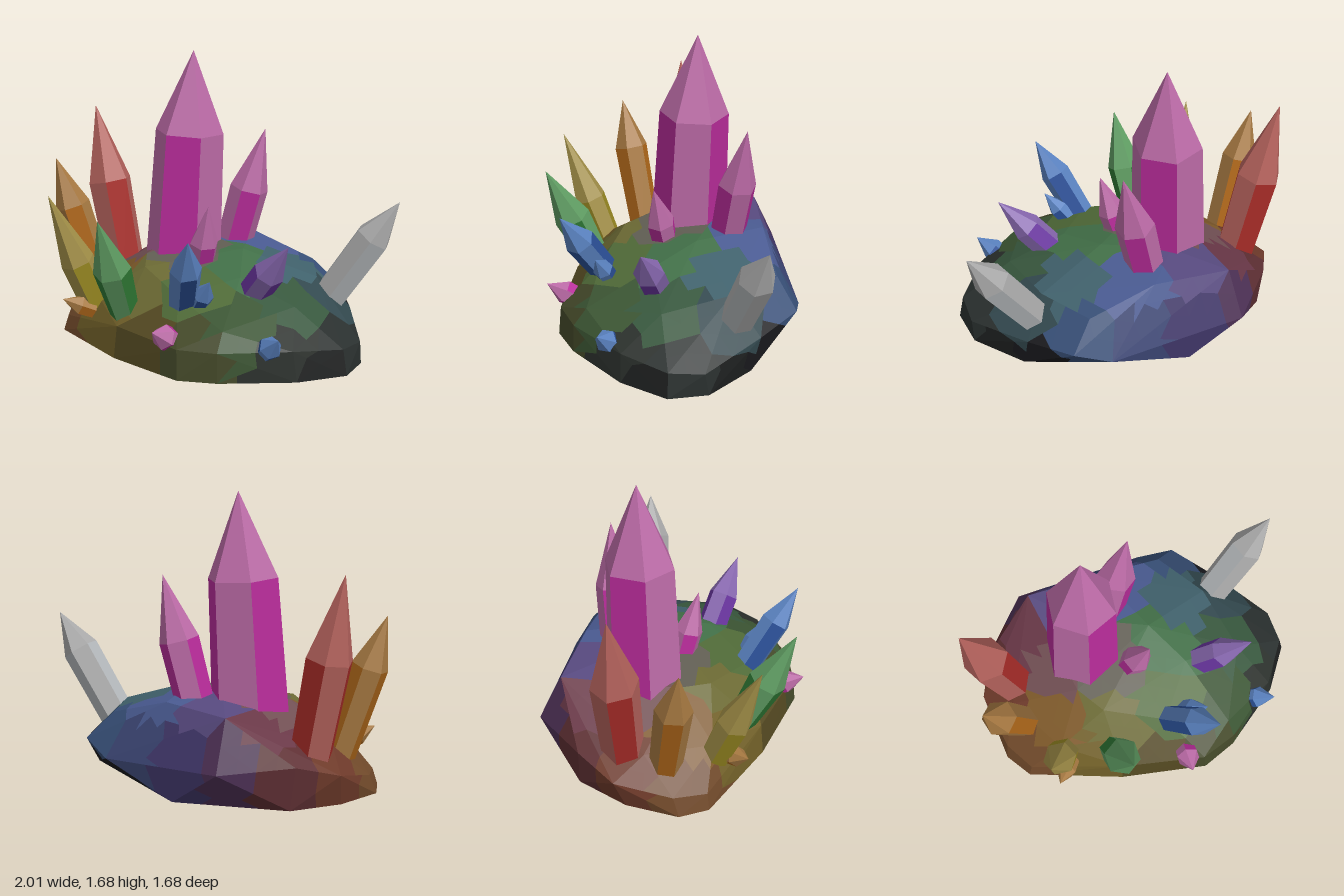
import * as THREE from 'three';
import { ConvexGeometry } from 'three/addons/geometries/ConvexGeometry.js';

const V = (a) => new THREE.Vector3(...a);

function facetMesh(name, points, color) {
  const geometry = new THREE.BufferGeometry().setFromPoints(points);
  geometry.computeVertexNormals();
  const mesh = new THREE.Mesh(geometry, new THREE.MeshStandardMaterial({ color, flatShading: true }));
  mesh.name = name;
  return mesh;
}

// Rock outline loops: foot (rising slightly to front and back), waist and crown
const ROCK_FOOT = [
  [0.13, -0.66], [0.73, 0.1], [0.78, 0.45], [0.68, 0.66], [0.4, 0.77], [-0.03, 0.79],
  [-0.25, 0.74], [-0.62, 0.37], [-0.96, -0.1], [-0.96, -0.28], [-0.78, -0.53], [-0.52, -0.72],
].map(([x, z]) => [x, 0.005 + 0.045 * z * z, z]);
const ROCK_WAIST = [
  [-0.14, 0.24, -0.84], [0.56, 0.18, -0.42], [0.71, 0.25, -0.26], [0.75, 0.21, 0.05], [0.77, 0.15, 0.47],
  [0.66, 0.17, 0.64], [0.38, 0.2, 0.75], [-0.03, 0.2, 0.78], [-0.25, 0.2, 0.72], [-0.6, 0.2, 0.36],
  [-0.93, 0.1, -0.1], [-0.92, 0.12, -0.3], [-0.78, 0.2, -0.6], [-0.55, 0.27, -0.73],
];
const ROCK_CROWN = [
  [-0.17, 0.52, -0.71], [0.2, 0.53, -0.45], [0.55, 0.41, -0.25], [0.55, 0.41, 0.1], [0.12, 0.55, 0],
  [-0.1, 0.545, -0.35], [-0.45, 0.49, -0.1], [-0.45, 0.47, 0.1], [0.1, 0.47, 0.3], [0.4, 0.36, 0.48],
  [0, 0.3, 0.71], [-0.25, 0.4, 0.42], [-0.75, 0.28, 0], [-0.72, 0.3, -0.4],
];

// Tint anchors: each small facet takes the tint of the nearest one
const TINTS = [
  [-0.88, 0.15, -0.2, 0x70492a], [-0.7, 0.33, -0.1, 0x7f5a2a], [-0.7, 0.25, 0.2, 0x705f28],
  [-0.45, 0.4, 0.2, 0x6c6a34], [-0.45, 0.15, 0.5, 0x554a22], [-0.2, 0.2, 0.75, 0x454a2a],
  [-0.15, 0.42, 0.35, 0x506b38], [0.1, 0.5, 0.15, 0x427048], [0.1, 0.3, 0.65, 0x3c5634],
  [0.4, 0.36, 0.45, 0x38583e], [0.35, 0.15, 0.75, 0x2b302c], [0.72, 0.15, 0.5, 0x2a302f],
  [0.65, 0.3, 0.15, 0x33494f], [0.4, 0.46, 0, 0x40616c], [0.65, 0.3, -0.25, 0x385078],
  [0.25, 0.52, -0.35, 0x4a5b92], [0.4, 0.3, -0.5, 0x3c4674], [0.1, 0.25, -0.7, 0x41376a],
  [-0.05, 0.54, -0.55, 0x584a80], [-0.2, 0.3, -0.8, 0x4e3156], [-0.4, 0.45, -0.65, 0x6a3848],
  [-0.5, 0.25, -0.72, 0x5e2f33], [-0.75, 0.25, -0.55, 0x6e3a2a], [-0.4, 0.48, -0.3, 0x725054],
  [-0.2, 0.52, -0.05, 0x625f54], [0.45, 0.07, -0.3, 0x1a1a1e], [0.65, 0.07, -0.05, 0x1a1a1e],
  [0.5, 0.03, 0.72, 0x1e2020], [0.8, 0.02, 0.35, 0x1e2020],
];

function makeRock() {
  const rock = new THREE.Group();
  rock.name = 'rock';
  const hull = new ConvexGeometry([...ROCK_FOOT, ...ROCK_WAIST, ...ROCK_CROWN].map(V));
  const pos = hull.getAttribute('position');
  const patches = TINTS.map(() => []);
  const underside = [];

  // Split a triangle on its longest edge until it is small, then tint it
  const split = (a, b, c) => {
    const ab = a.distanceTo(b), bc = b.distanceTo(c), ca = c.distanceTo(a);
    const longest = Math.max(ab, bc, ca);
    if (longest > 0.17) {
      if (longest === bc) return split(b, c, a);
      if (longest === ca) return split(c, a, b);
      const m = a.clone().lerp(b, 0.5);
      split(a, m, c);
      split(m, b, c);
      return;
    }
    const mid = a.clone().add(b).add(c).divideScalar(3);
    let best = 0, near = Infinity;
    TINTS.forEach((t, i) => {
      const d = mid.distanceTo(V(t.slice(0, 3)));
      if (d < near) { near = d; best = i; }
    });
    patches[best].push(a, b, c);
  };
  for (let i = 0; i < pos.count; i += 3) {
    const tri = [0, 1, 2].map((k) => new THREE.Vector3().fromBufferAttribute(pos, i + k));
    if (tri.every((p) => p.y < 0.05)) underside.push(...tri);
    else split(...tri);
  }
  patches.forEach((pts, i) => {
    if (pts.length) rock.add(facetMesh('rockPatch' + (i + 1), pts, TINTS[i][3]));
  });
  rock.add(facetMesh('rockUnderside', underside, 0x18181a));
  return rock;
}

// Six-sided crystal from base to tip; sides alternate vivid and pale, point is pale
function makeCrystal({ name, base, tip, r, foot = 0.9, t, turn = 0, vivid, pale }) {
  const group = new THREE.Group();
  group.name = name;
  const from = V(base), axis = V(tip).sub(from);
  const h = axis.length();
  const ring = (radius, y) => Array.from({ length: 6 }, (_, i) => {
    const a = THREE.MathUtils.degToRad(turn - 30 + i * 60);
    return new THREE.Vector3(radius * Math.sin(a), y, radius * Math.cos(a));
  });
  const low = ring(r * foot, 0), high = ring(r, h * t);
  const top = new THREE.Vector3(0, h, 0), bottom = new THREE.Vector3(0, -r * 0.5, 0);
  const sides = [[], []];
  for (let i = 0; i < 6; i++) {
    const j = (i + 1) % 6;
    sides[i % 2].push(low[i], low[j], high[j], low[i], high[j], high[i]);
    sides[1].push(high[i], high[j], top, low[j], low[i], bottom);
  }
  group.add(facetMesh(name + 'VividSides', sides[0], vivid), facetMesh(name + 'PaleFaces', sides[1], pale));
  group.position.copy(from);
  group.quaternion.setFromUnitVectors(new THREE.Vector3(0, 1, 0), axis.normalize());
  return group;
}

const PINK = { vivid: 0xb82c9a, pale: 0xbb6aa6 };
const BLUE = { vivid: 0x2a4f96, pale: 0x5a82c0 };
const ORANGE = { vivid: 0xb0681a, pale: 0xa87a42 };

const CRYSTALS = [
  { name: 'mainCrystal', base: [-0.24, 0.4, -0.23], tip: [-0.168, 1.685, -0.24], r: 0.205, foot: 1.12, t: 0.625, turn: -10, ...PINK },
  { name: 'rightPinkCrystal', base: [0.04, 0.38, -0.29], tip: [0.255, 1.215, -0.26], r: 0.115, foot: 0.95, t: 0.56, turn: 5, ...PINK },
  { name: 'smallPinkCrystal', base: [-0.13, 0.42, 0.03], tip: [-0.08, 0.85, 0.16], r: 0.085, t: 0.45, turn: 20, ...PINK },
  { name: 'redCrystal', base: [-0.6, 0.24, -0.48], tip: [-0.785, 1.29, -0.61], r: 0.135, t: 0.56, turn: 25, vivid: 0xa82c28, pale: 0xb4625c },
  { name: 'orangeCrystal', base: [-0.74, 0.2, -0.28], tip: [-1, 1.025, -0.3], r: 0.105, t: 0.65, turn: 10, ...ORANGE },
  { name: 'yellowCrystal', base: [-0.74, 0.2, 0.02], tip: [-0.99, 0.915, 0.17], r: 0.1, t: 0.42, turn: 20, vivid: 0x9a8a22, pale: 0xa39048 },
  { name: 'greenCrystal', base: [-0.56, 0.24, 0.25], tip: [-0.68, 0.86, 0.51], r: 0.11, foot: 0.78, t: 0.48, turn: 60, vivid: 0x2f7a35, pale: 0x5f9c62 },
  { name: 'blueCrystal', base: [-0.225, 0.3, 0.38], tip: [-0.182, 0.81, 0.745], r: 0.09, t: 0.62, turn: 15, ...BLUE },
  { name: 'smallBlueCrystal', base: [-0.15, 0.32, 0.42], tip: [-0.07, 0.54, 0.59], r: 0.06, t: 0.55, ...BLUE },
  { name: 'purpleCrystal', base: [0.13, 0.31, 0.29], tip: [0.355, 0.735, 0.585], r: 0.09, foot: 1, t: 0.56, turn: 45, vivid: 0x6a35a0, pale: 0x8868b0 },
  { name: 'whiteCrystal', base: [0.59, 0.25, 0.11], tip: [0.998, 0.895, 0.235], r: 0.108, foot: 0.95, t: 0.66, turn: 15, vivid: 0xb4b8bb, pale: 0xa9a9a9 },
  { name: 'tinyOrangeCrystal', base: [-0.76, 0.2, 0.08], tip: [-0.93, 0.285, 0.14], r: 0.06, t: 0.45, ...ORANGE },
  { name: 'tinyPinkCrystal', base: [-0.27, 0.2, 0.58], tip: [-0.38, 0.3, 0.725], r: 0.072, t: 0.45, ...PINK },
  { name: 'tinyBlueCrystal', base: [0.225, 0.17, 0.69], tip: [0.295, 0.3, 0.845], r: 0.066, t: 0.45, turn: 30, ...BLUE },
];

export function createModel() {
  const model = new THREE.Group();
  model.name = 'crystalCluster';
  model.add(makeRock());
  for (const spec of CRYSTALS) model.add(makeCrystal(spec));
  return model;
}
